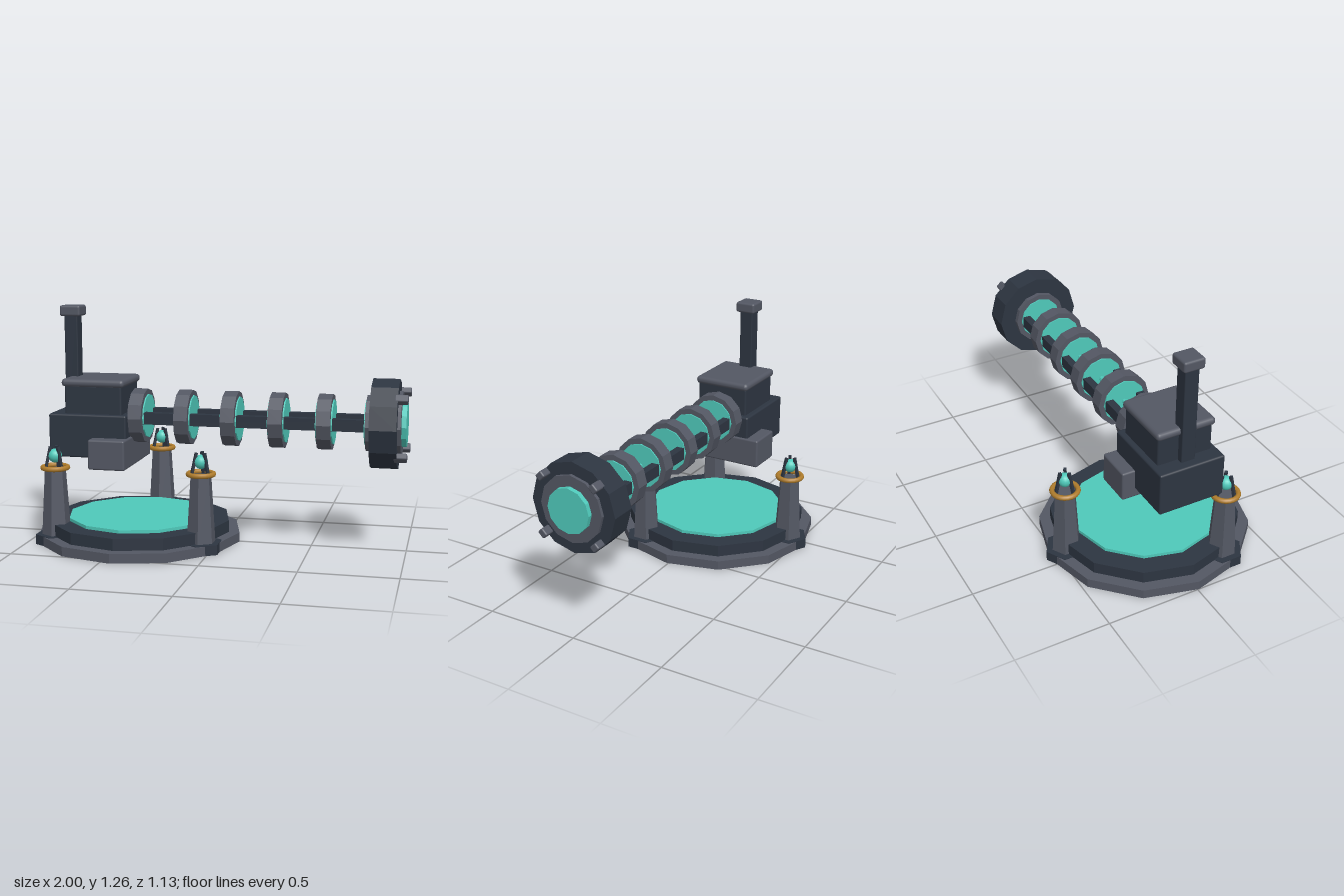
import * as THREE from 'three';
import { RoundedBoxGeometry } from 'three/addons/geometries/RoundedBoxGeometry.js';

const paint = (name, color) => {
  const m = new THREE.MeshStandardMaterial({ color });
  m.name = name;
  return m;
};

export function createModel() {
  const dark = paint('dark steel', 0x2d3541);
  const grey = paint('grey steel', 0x535763);
  const teal = paint('teal glow', 0x4fc9ba);
  const gold = paint('brass', 0xb07d2c);

  const model = new THREE.Group();
  model.name = 'beamEmitter';
  const axisY = 0.671, baseX = -0.445;

  const add = (parent, name, geometry, material, x = 0, y = 0, z = 0) => {
    const mesh = new THREE.Mesh(geometry, material);
    mesh.name = name;
    mesh.position.set(x, y, z);
    parent.add(mesh);
    return mesh;
  };
  // Faceted cylinder with hard edges
  const facet = (rTop, rBottom, h, sides) => {
    const g = new THREE.CylinderGeometry(rTop, rBottom, h, sides).toNonIndexed();
    g.computeVertexNormals();
    return g;
  };
  // Upright faceted drum between two heights
  const drum = (parent, name, mat, rTop, rBottom, y0, y1, sides, x = 0) =>
    add(parent, name, facet(rTop, rBottom, y1 - y0, sides), mat, x, (y0 + y1) / 2, 0);
  // Faceted drum lying along the barrel axis
  const along = (parent, name, mat, r, x0, x1, sides = 12) =>
    add(parent, name, facet(r, r, x1 - x0, sides).rotateZ(-Math.PI / 2), mat, (x0 + x1) / 2, axisY, 0);
  // Softened box from its limits in x and y, centred on z
  const block = (parent, name, mat, x0, x1, y0, y1, halfZ, r = 0.01) =>
    add(parent, name, new RoundedBoxGeometry(x1 - x0, y1 - y0, halfZ * 2, 2, r), mat,
      (x0 + x1) / 2, (y0 + y1) / 2, 0);

  // Everything shares one mid-plane, slightly ahead of the centre
  const body = new THREE.Group();
  body.name = 'machine';
  body.position.z = 0.008;
  model.add(body);

  // Stepped platform
  drum(body, 'baseRim', grey, 0.556, 0.556, 0, 0.05, 12, baseX);
  drum(body, 'baseStep', dark, 0.497, 0.497, 0.05, 0.113, 12, baseX);
  drum(body, 'basePlate', dark, 0.53, 0.55, -0.0005, 0.01, 12, baseX);
  drum(body, 'glowingFloor', teal, 0.39, 0.39, 0.1, 0.13, 12, baseX);

  // Three pylons, each holding an orb between prongs
  for (const turn of [Math.PI / 3, -Math.PI / 3, Math.PI]) {
    const pylon = new THREE.Group();
    pylon.name = 'pylon';
    pylon.position.set(baseX + Math.sin(turn) * 0.46, 0, Math.cos(turn) * 0.46);
    pylon.rotation.y = turn;
    body.add(pylon);
    drum(pylon, 'pylonFoot', dark, 0.113, 0.113, 0, 0.053, 6);
    drum(pylon, 'pylonShaft', grey, 0.056, 0.078, 0.05, 0.405, 6);
    add(pylon, 'pylonRing', new THREE.TorusGeometry(0.066, 0.0135, 8, 24).rotateX(Math.PI / 2), gold, 0, 0.412, 0);
    add(pylon, 'orb', new THREE.SphereGeometry(0.037, 16, 12), teal, 0, 0.476, 0);
    for (let i = 0; i < 3; i++) {
      const arm = new THREE.Group();
      arm.name = 'prongArm';
      arm.rotation.y = (i * Math.PI * 2) / 3;
      pylon.add(arm);
      const prong = add(arm, 'prong', new THREE.BoxGeometry(0.016, 0.125, 0.014), dark, 0, 0.464, 0.038);
      prong.rotation.x = -0.22;
    }
  }

  // Housing
  block(body, 'housing', dark, -0.893, -0.465, 0.46, 0.692, 0.18);
  block(body, 'upperHousing', dark, -0.812, -0.497, 0.67, 0.845, 0.15);
  block(body, 'housingLid', grey, -0.828, -0.482, 0.835, 0.878, 0.162, 0.02);
  block(body, 'crossBlock', grey, -0.655, -0.455, 0.41, 0.57, 0.25);

  // Chimney column
  block(body, 'column', dark, -0.846, -0.772, 0.6, 1.21, 0.038, 0.006);
  block(body, 'columnCap', grey, -0.866, -0.752, 1.202, 1.26, 0.057, 0.012);

  // Barrel: side rails, core and evenly spaced coils
  for (const side of [-1, 1]) {
    add(body, 'rail', new THREE.BoxGeometry(1.32, 0.062, 0.042), dark, 0.18, axisY, side * 0.089);
  }
  along(body, 'core', teal, 0.014, -0.47, 0.85, 8);
  for (let i = 0; i < 6; i++) {
    const x = -0.43 + i * 0.25;
    along(body, 'coil', grey, 0.147, x - 0.037, x + 0.037);
    along(body, 'coilLens', teal, 0.118, x - 0.044, x + 0.044);
  }

  // Muzzle with lens and four clamps
  along(body, 'muzzle', dark, 0.235, 0.81, 0.948);
  along(body, 'muzzleRing', grey, 0.173, 0.94, 0.965);
  along(body, 'muzzleLens', teal, 0.117, 0.95, 0.99);
  for (let i = 0; i < 4; i++) {
    const a = Math.PI / 4 + (i * Math.PI) / 2;
    const clamp = add(body, 'clamp', new RoundedBoxGeometry(0.07, 0.036, 0.044, 2, 0.008), grey,
      0.965, axisY + Math.sin(a) * 0.21, Math.cos(a) * 0.21);
    clamp.rotation.x = -a + Math.PI / 2;
  }

  return model;
}
